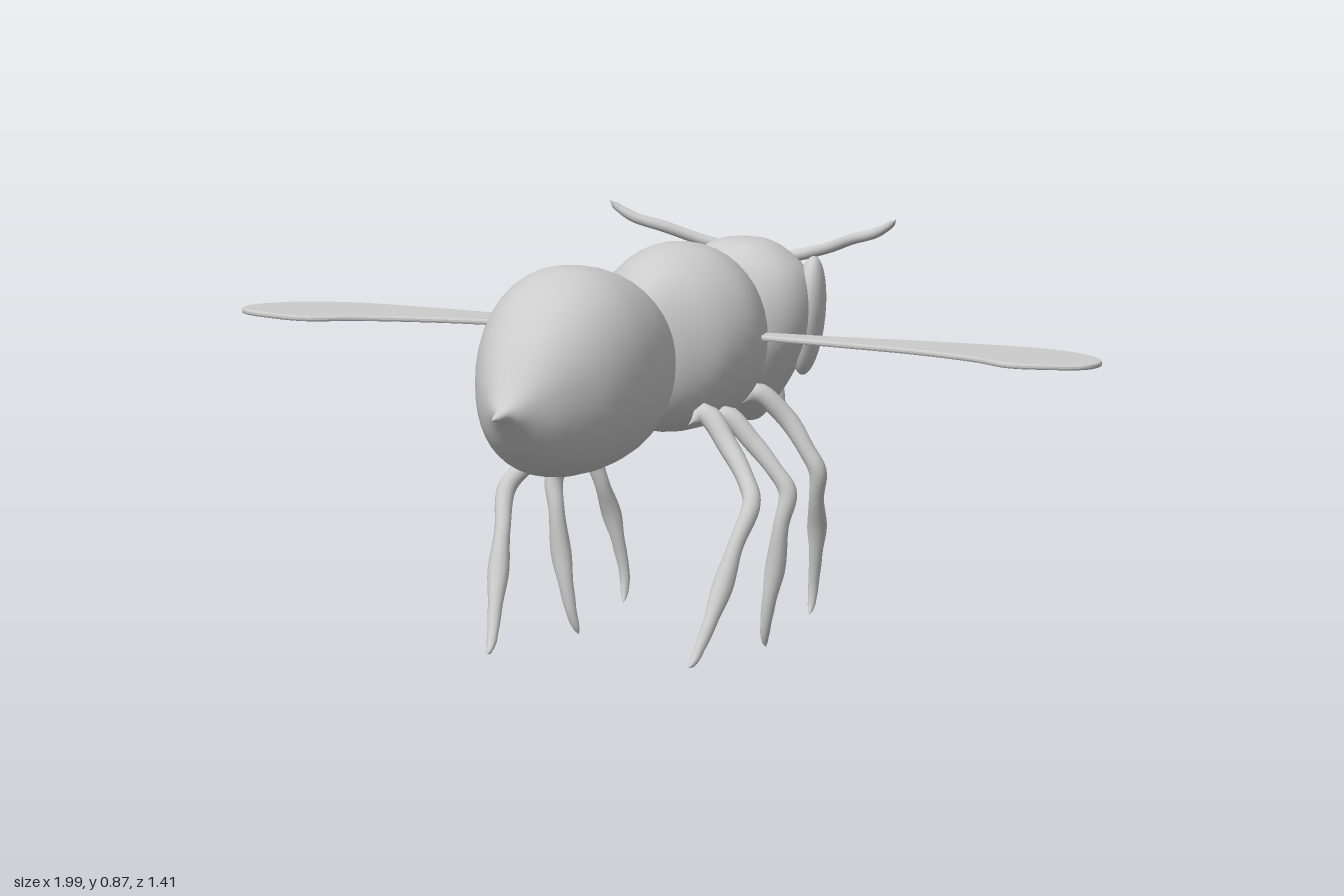
import * as THREE from 'three';
import { mergeVertices } from 'three/addons/utils/BufferGeometryUtils.js';

const material = new THREE.MeshStandardMaterial({ color: 0xcccccc, side: THREE.DoubleSide });
const v = (p) => new THREE.Vector3(...p);

function add(parent, name, geometry) {
  const mesh = new THREE.Mesh(geometry, material);
  mesh.name = name;
  parent.add(mesh);
  return mesh;
}

// Smooth body from sections [position, half width, low, high];
// the axis is z (position rising) or y (position falling).
function loft(sections, axis, power = 1, rings = 48, sides = 40) {
  const span = new THREE.CatmullRomCurve3(sections.map(([p, , lo, hi]) => v([p, lo, hi])), false, 'catmullrom', 0.5);
  const width = new THREE.CatmullRomCurve3(sections.map(([p, w]) => v([p, w, 0])), false, 'catmullrom', 0.5);
  const pos = [], index = [];
  const soften = (t) => Math.sign(t) * Math.abs(t) ** power;
  for (let i = 0; i <= rings; i++) {
    const s = span.getPoint(i / rings), w = Math.max(0, width.getPoint(i / rings).y);
    for (let j = 0; j < sides; j++) {
      const a = (j / sides) * Math.PI * 2;
      const x = w * soften(Math.cos(a));
      const m = (s.y + s.z) / 2 + ((s.z - s.y) / 2) * soften(Math.sin(a));
      if (axis === 'z') pos.push(x, m, s.x);
      else pos.push(x, s.x, m);
      if (i < rings) {
        const k = (j + 1) % sides, r = i * sides, n = r + sides;
        index.push(r + j, r + k, n + k, r + j, n + k, n + j);
      }
    }
  }
  let g = new THREE.BufferGeometry();
  g.setAttribute('position', new THREE.Float32BufferAttribute(pos, 3));
  g.setIndex(index);
  g = mergeVertices(g, 1e-5);
  g.computeVertexNormals();
  return g;
}

// Limb whose radius varies along a curve; each point is [x, y, z, radius].
function limb(points, side, segments = 48, sides = 12) {
  const path = new THREE.CatmullRomCurve3(points.map(([x, y, z]) => v([x * side, y, z])));
  const radius = new THREE.CatmullRomCurve3(points.map(([x, y, z, r]) => v([x * side, y, z])));
  const g = new THREE.TubeGeometry(radius, segments, 1, sides);
  const p = g.attributes.position, c = new THREE.Vector3(), q = new THREE.Vector3();
  for (let i = 0; i <= segments; i++) {
    path.getPointAt(i / segments, c);
    const t = path.getUtoTmapping(i / segments) * (points.length - 1);
    const k = Math.min(Math.floor(t), points.length - 2);
    const f = THREE.MathUtils.smoothstep(t - k, 0, 1);
    const r = THREE.MathUtils.lerp(points[k][3], points[k + 1][3], f);
    for (let j = 0; j <= sides; j++) {
      const n = i * (sides + 1) + j;
      q.fromBufferAttribute(p, n).sub(c).multiplyScalar(r).add(c);
      p.setXYZ(n, q.x, q.y, q.z);
    }
  }
  return g;
}

// Thin blade lying flat, outlined by a smooth closed curve in x and z.
function wing(side) {
  const outline = [[0.14, -0.305], [0.35, -0.325], [0.6, -0.35], [0.82, -0.348], [0.94, -0.295],
    [0.99, -0.225], [0.98, -0.175], [0.9, -0.14], [0.82, -0.13], [0.72, -0.18], [0.55, -0.228],
    [0.35, -0.255], [0.14, -0.288]];
  const curve = new THREE.CatmullRomCurve3(outline.map(([x, z]) => v([x * side, -z, 0])), true);
  const shape = new THREE.Shape(curve.getPoints(90).map((p) => new THREE.Vector2(p.x, p.y)));
  const g = new THREE.ExtrudeGeometry(shape, {
    depth: 0.004, bevelEnabled: true, bevelThickness: 0.004, bevelSize: 0.005, bevelSegments: 2,
  });
  return g.rotateX(-Math.PI / 2).translate(0, 0.653, 0);
}

const abdomen = [
  [-0.018, 0, 0.66, 0.67], [0, 0.06, 0.61, 0.715], [0.07, 0.135, 0.51, 0.787], [0.15, 0.168, 0.455, 0.84],
  [0.25, 0.183, 0.436, 0.87], [0.35, 0.18, 0.433, 0.875], [0.45, 0.155, 0.445, 0.838],
  [0.55, 0.102, 0.49, 0.75], [0.62, 0.045, 0.562, 0.65], [0.65, 0.018, 0.587, 0.617],
  [0.68, 0.009, 0.591, 0.606], [0.703, 0, 0.596, 0.598],
];
const thorax = [
  [-0.437, 0, 0.61, 0.63], [-0.432, 0.06, 0.55, 0.7], [-0.405, 0.115, 0.495, 0.775], [-0.35, 0.16, 0.462, 0.83],
  [-0.25, 0.183, 0.453, 0.855], [-0.15, 0.16, 0.46, 0.84], [-0.08, 0.108, 0.483, 0.802],
  [-0.035, 0.055, 0.53, 0.755], [-0.018, 0.025, 0.59, 0.715], [-0.012, 0, 0.65, 0.67],
];
const head = [
  [0.822, 0, -0.575, -0.565], [0.815, 0.055, -0.622, -0.52], [0.79, 0.1, -0.658, -0.482], [0.75, 0.138, -0.685, -0.457],
  [0.69, 0.155, -0.7, -0.442], [0.62, 0.15, -0.697, -0.442], [0.56, 0.123, -0.68, -0.455],
  [0.5, 0.088, -0.655, -0.485], [0.455, 0.052, -0.638, -0.535], [0.43, 0.022, -0.628, -0.575], [0.425, 0, -0.61, -0.6],
];
const legs = {
  frontLeg: [[0.1, 0.5, -0.35, 0], [0.13, 0.525, -0.355, 0.022], [0.19, 0.47, -0.38, 0.021], [0.235, 0.405, -0.383, 0.018],
    [0.26, 0.36, -0.385, 0.019], [0.25, 0.3, -0.4, 0.016], [0.24, 0.235, -0.425, 0.021],
    [0.23, 0.17, -0.44, 0.014], [0.22, 0.1, -0.449, 0.011], [0.218, 0.06, -0.443, 0.008], [0.217, 0.042, -0.434, 0]],
  middleLeg: [[0.1, 0.47, -0.2, 0], [0.13, 0.495, -0.203, 0.023], [0.19, 0.44, -0.21, 0.021], [0.24, 0.385, -0.21, 0.018],
    [0.272, 0.34, -0.207, 0.02], [0.262, 0.27, -0.195, 0.017], [0.25, 0.18, -0.192, 0.022],
    [0.235, 0.1, -0.19, 0.015], [0.225, 0.045, -0.195, 0.011], [0.22, 0.02, -0.203, 0.008], [0.218, 0.004, -0.213, 0]],
  hindLeg: [[0.1, 0.49, -0.075, 0], [0.135, 0.515, -0.085, 0.024], [0.2, 0.45, -0.065, 0.022], [0.255, 0.39, -0.03, 0.019],
    [0.285, 0.345, 0.005, 0.02], [0.272, 0.26, 0.058, 0.017], [0.262, 0.18, 0.1, 0.023],
    [0.25, 0.1, 0.145, 0.015], [0.24, 0.045, 0.18, 0.011], [0.237, 0.025, 0.198, 0.008], [0.235, 0.017, 0.217, 0]],
};
const antenna = [[0.045, 0.75, -0.672, 0], [0.055, 0.765, -0.69, 0.014], [0.09, 0.775, -0.697, 0.013],
  [0.15, 0.793, -0.678, 0.012], [0.22, 0.82, -0.648, 0.012], [0.28, 0.838, -0.63, 0.011],
  [0.32, 0.86, -0.625, 0.008], [0.335, 0.873, -0.622, 0]];
const mandible = [[0.045, 0.52, -0.585, 0], [0.058, 0.5, -0.598, 0.022], [0.064, 0.465, -0.61, 0.016], [0.055, 0.425, -0.622, 0]];

export function createModel() {
  const model = new THREE.Group();
  model.name = 'wasp';

  // Three-part body; the abdomen ends in a sting
  add(model, 'abdomen', loft(abdomen, 'z', 0.92));
  add(model, 'thorax', loft(thorax, 'z'));
  add(model, 'head', loft(head, 'y', 0.92));

  // Paired parts
  for (const [side, label] of [[1, 'left'], [-1, 'right']]) {
    add(model, label + 'Wing', wing(side));
    for (const [name, path] of Object.entries(legs)) {
      add(model, label + name[0].toUpperCase() + name.slice(1), limb(path, side));
    }
    add(model, label + 'Antenna', limb(antenna, side));
    add(model, label + 'Mandible', limb(mandible, side, 20));

    // Tall oval eye, fuller toward the face
    const eye = add(model, label + 'Eye', new THREE.SphereGeometry(1, 32, 24));
    eye.scale.set(0.036, 0.128, 0.058);
    eye.position.set(side * 0.131, 0.655, -0.617);
    eye.rotation.set(0, side * 0.3, side * -0.1);
  }
  return model;
}
